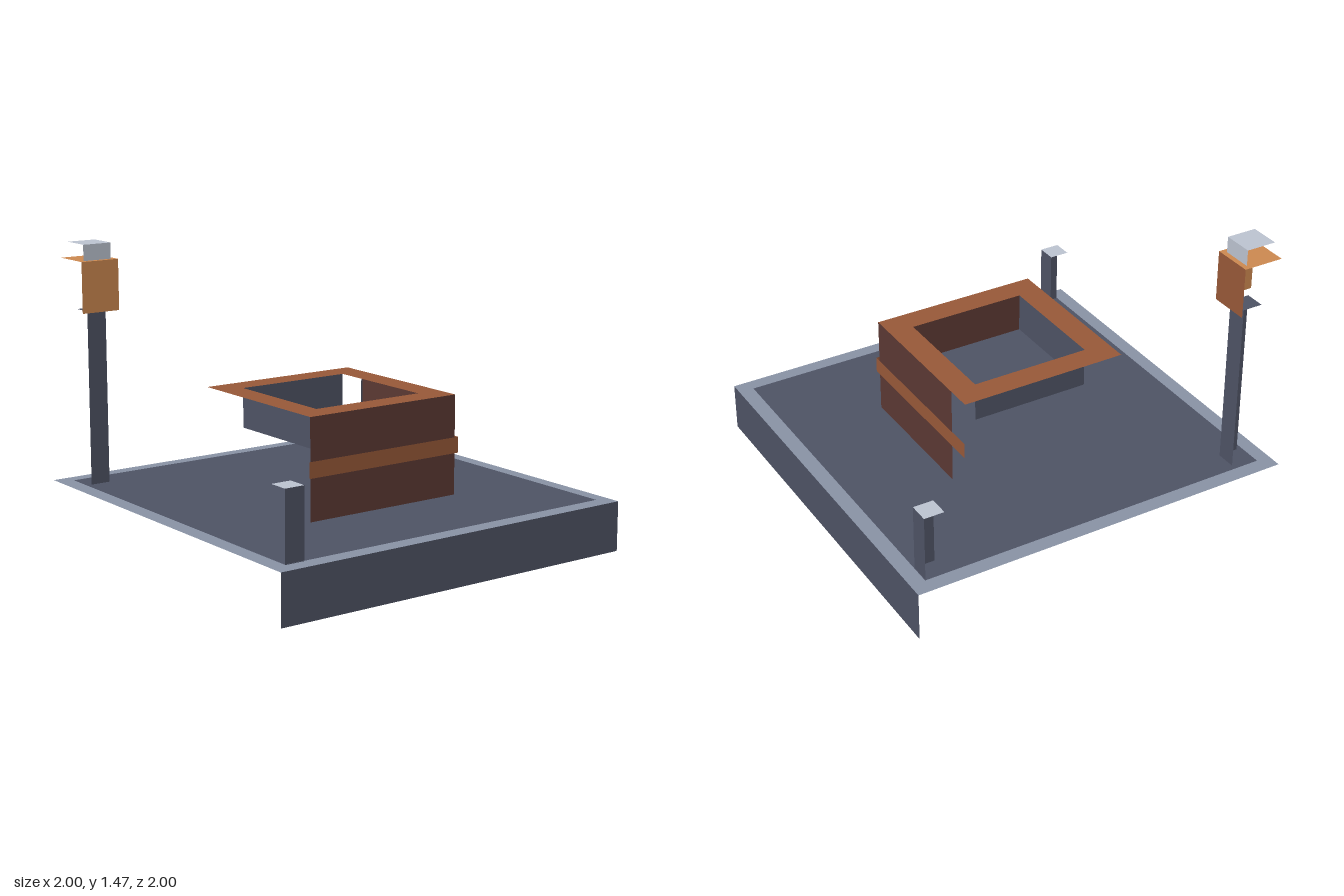
import * as THREE from 'three';

const mat = (name, color) => {
  const m = new THREE.MeshStandardMaterial({ color, side: THREE.DoubleSide });
  m.name = name;
  return m;
};

export function createModel() {
  const slate = mat('slate', 0x4f5466);
  const rimGrey = mat('rim grey', 0x8a94a7);
  const paleGrey = mat('pale grey', 0xbfc6d3);
  const brown = mat('brown', 0x9a5a39);
  const darkBrown = mat('dark brown', 0x5d3a34);
  const orange = mat('orange', 0xcf8a51);
  const model = new THREE.Group();
  model.name = 'courtyardWell';

  const add = (parent, name, geometry, material) => {
    const mesh = new THREE.Mesh(geometry, material);
    mesh.name = name;
    parent.add(mesh);
  };
  const group = (name) => {
    const g = new THREE.Group();
    g.name = name;
    model.add(g);
    return g;
  };

  // Single faces looking towards +z, +x and +y
  const faceZ = (x0, x1, y0, y1, z) =>
    new THREE.PlaneGeometry(x1 - x0, y1 - y0).translate((x0 + x1) / 2, (y0 + y1) / 2, z);
  const faceX = (z0, z1, y0, y1, x) =>
    new THREE.PlaneGeometry(z1 - z0, y1 - y0).rotateY(Math.PI / 2).translate(x, (y0 + y1) / 2, (z0 + z1) / 2);
  const faceY = (x0, x1, z0, z1, y) =>
    new THREE.PlaneGeometry(x1 - x0, z1 - z0).rotateX(-Math.PI / 2).translate((x0 + x1) / 2, y, (z0 + z1) / 2);

  // Flat square frame with a square hole
  const square = (path, r) => path.moveTo(-r, -r).lineTo(r, -r).lineTo(r, r).lineTo(-r, r).closePath();
  const frame = (outer, inner, y) => {
    const shape = new THREE.Shape();
    square(shape, outer);
    const hole = new THREE.Path();
    square(hole, inner);
    shape.holes.push(hole);
    return new THREE.ShapeGeometry(shape).rotateX(-Math.PI / 2).translate(0, y, 0);
  };

  // Block open at its back, its -x side and its bottom
  const openBlock = (name, cx, cz, r, y0, y1, front, side, top) => {
    const g = group(name);
    add(g, name + 'Front', faceZ(cx - r, cx + r, y0, y1, cz + r), front);
    add(g, name + 'Side', faceX(cz - r, cz + r, y0, y1, cx + r), side);
    add(g, name + 'Top', faceY(cx - r, cx + r, cz - r, cz + r, y1), top);
  };

  // Base slab: a grey top plate with the slate floor laid on it
  const base = group('base');
  add(base, 'baseFront', faceZ(-1, 1, 0, 0.25, 1), slate);
  add(base, 'baseSide', faceX(-1, 1, 0, 0.25, 1), slate);
  add(base, 'baseTop', faceY(-1, 1, -1, 1, 0.25), rimGrey);
  add(base, 'baseFloor', faceY(-0.925, 0.925, -0.925, 0.925, 0.253), slate);

  // Corner posts
  openBlock('leftPost', 0.87, -0.87, 0.0515, 0.25, 0.59, slate, slate, paleGrey);
  openBlock('rightPost', -0.87, 0.87, 0.0515, 0.25, 0.59, slate, slate, paleGrey);

  // Lamp on a tall post
  openBlock('lampPost', -0.846, -0.846, 0.0515, 0.25, 1.13, slate, slate, slate);
  openBlock('lamp', -0.848, -0.848, 0.1025, 1.13, 1.385, orange, brown, orange);
  openBlock('lampCap', -0.848, -0.848, 0.0765, 1.385, 1.465, paleGrey, paleGrey, paleGrey);

  // Well: outer walls, top frame and a shallow sunken basin
  const well = group('well');
  add(well, 'wellFront', faceZ(-0.435, 0.435, 0.25, 0.755, 0.435), darkBrown);
  add(well, 'wellSide', faceX(-0.307, 0.435, 0.25, 0.755, 0.435), darkBrown);
  add(well, 'wellTop', frame(0.435, 0.307, 0.755), brown);
  add(well, 'basinBack', faceZ(-0.307, 0.307, 0.555, 0.755, -0.307), slate);
  add(well, 'basinSide', faceX(-0.307, 0.307, 0.555, 0.755, -0.307), slate);
  add(well, 'basinFloor', faceY(-0.307, 0.307, -0.307, 0.307, 0.555), slate);

  // Band around the well
  add(well, 'bandFront', faceZ(-0.447, 0.447, 0.465, 0.545, 0.447), brown);
  add(well, 'bandSide', faceX(-0.447, 0.447, 0.465, 0.545, 0.447), brown);

  return model;
}
